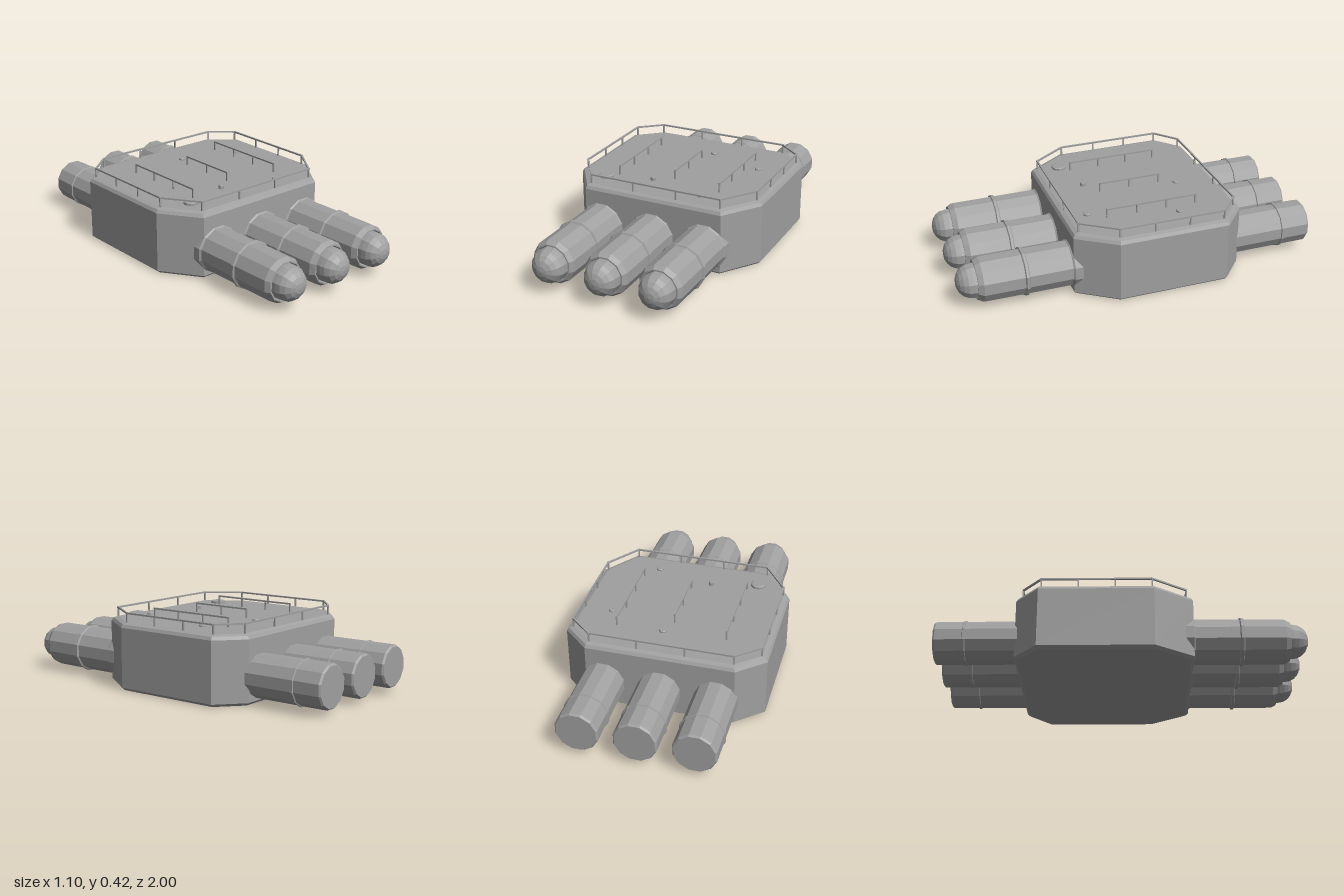
import * as THREE from 'three';

const grey = new THREE.MeshStandardMaterial({ color: 0xa0a0a0 });
grey.name = 'hull grey';

const DECK = 0.37;
const RAIL = 0.42;
const TUBE_Y = 0.145;

// Faceted normals for a crisp low-poly look
function flat(geometry) {
  const g = geometry.index ? geometry.toNonIndexed() : geometry;
  g.computeVertexNormals();
  return g;
}

function addMesh(parent, geometry, name) {
  const mesh = new THREE.Mesh(flat(geometry), grey);
  mesh.name = name;
  parent.add(mesh);
  return mesh;
}

// Eight-sided hull outline, shrunk evenly by i: [x, z] pairs
function outline(i) {
  const half = [
    [0.405 - 0.55 * i, 0.385 - i],
    [0.55 - i, 0.175 - 0.3 * i],
    [0.55 - i, -0.437 + 0.4 * i],
    [0.405 - 0.4 * i, -0.565 + i],
  ];
  return [...half, ...half.slice().reverse().map(([x, z]) => [-x, z])];
}

// Hull skin lofted through outlines, with flat caps
function hullGeometry() {
  const levels = [[0.018, 0], [0, 0.016], [0, 0.345], [0.01, 0.362], [0.032, DECK]];
  const loops = levels.map(([i, y]) => outline(i).map(([x, z]) => [x, y, z]));
  const pos = [];
  const tri = (...corners) => corners.forEach((c) => pos.push(...c));
  for (let l = 0; l < loops.length - 1; l++) {
    for (let k = 0; k < 8; k++) {
      const n = (k + 1) % 8;
      const [a, b, c, d] = [loops[l][k], loops[l][n], loops[l + 1][n], loops[l + 1][k]];
      tri(a, b, c);
      tri(a, c, d);
    }
  }
  const bottom = loops[0], top = loops[loops.length - 1];
  for (let k = 1; k < 7; k++) {
    tri(top[0], top[k], top[k + 1]);
    tri(bottom[0], bottom[k + 1], bottom[k]);
  }
  const g = new THREE.BufferGeometry();
  g.setAttribute('position', new THREE.Float32BufferAttribute(pos, 3));
  return g;
}

// Twelve-sided turned part with flats at top and sides; profile is [radius, distance]
function turned(profile) {
  const points = profile.map(([r, d]) => new THREE.Vector2(r, d));
  return new THREE.LatheGeometry(points, 12, Math.PI / 12);
}

// Square bar between two points
function addBar(parent, from, to, name, thick = 0.009) {
  const a = new THREE.Vector3(...from), b = new THREE.Vector3(...to);
  const bar = addMesh(parent, new THREE.BoxGeometry(thick, thick, a.distanceTo(b) + thick), name);
  bar.position.copy(a).add(b).multiplyScalar(0.5);
  bar.lookAt(b);
}

function addPost(parent, x, z) {
  const h = RAIL - DECK + 0.01;
  const post = addMesh(parent, new THREE.BoxGeometry(0.008, h, 0.008), 'railPost');
  post.position.set(x, RAIL - h / 2, z);
}

export function createModel() {
  const model = new THREE.Group();
  model.name = 'hullWithTubes';
  addMesh(model, hullGeometry(), 'hull');

  // Front tubes with collars and domed noses, rear tubes with flat ends
  const frontProfile = [
    [0.133, 0.3], [0.133, 0.383], [0.124, 0.393], [0.124, 0.628], [0.133, 0.633],
    [0.133, 0.647], [0.124, 0.652], [0.123, 0.87], [0.108, 0.898], [0.1, 0.898], [0.092, 0.885],
  ];
  const nose = [[0.095, 0.885], [0.094, 0.915]];
  for (let k = 1; k <= 5; k++) {
    const a = (k / 5) * Math.PI / 2;
    nose.push([k === 5 ? 0 : 0.094 * Math.cos(a), 0.915 + 0.085 * Math.sin(a)]);
  }
  const rearProfile = [
    [0.118, 0.5], [0.118, 0.828], [0.124, 0.831], [0.124, 0.841], [0.118, 0.844],
    [0.118, 0.99], [0.11, 1], [0, 1],
  ];
  for (const x of [-0.307, 0, 0.307]) {
    for (const [profile, name, dir] of [
      [frontProfile, 'frontTube', 1], [nose, 'tubeNose', 1], [rearProfile, 'rearTube', -1],
    ]) {
      const tube = addMesh(model, turned(profile), name);
      tube.rotation.x = dir * Math.PI / 2;
      tube.position.set(x, TUBE_Y, 0);
    }
  }

  // Railing around the deck edge
  const railing = new THREE.Group();
  railing.name = 'deckRailing';
  const corners = outline(0.035);
  corners.forEach(([x, z], k) => {
    const [nx, nz] = corners[(k + 1) % 8];
    addBar(railing, [x, RAIL, z], [nx, RAIL, nz], 'topRail');
    const parts = Math.hypot(nx - x, nz - z) > 0.4 ? 3 : 1;
    for (let p = 0; p < parts; p++) {
      const t = p / parts;
      addPost(railing, x + (nx - x) * t, z + (nz - z) * t);
    }
  });
  model.add(railing);

  // Three straight handrails on the deck: x, rear z, front z, spans
  const handrails = new THREE.Group();
  handrails.name = 'handrails';
  for (const [x, z0, z1, spans] of [
    [-0.305, -0.33, 0.175, 3], [0, -0.25, 0.1, 2], [0.295, -0.35, 0.16, 3],
  ]) {
    addBar(handrails, [x, RAIL, z0], [x, RAIL, z1], 'handrail');
    for (let p = 0; p <= spans; p++) addPost(handrails, x, z0 + (z1 - z0) * p / spans);
  }
  model.add(handrails);

  // Deck hatch and small caps: x, z, radius, height
  for (const [x, z, r, h, name] of [
    [-0.36, 0.228, 0.042, 0.015, 'hatch'], [0.038, -0.343, 0.021, 0.011, 'deckCap'],
    [0.36, -0.23, 0.019, 0.011, 'deckCap'], [0.227, 0.25, 0.02, 0.011, 'deckCap'],
    [-0.1, 0.167, 0.015, 0.022, 'deckCap'],
  ]) {
    const cap = addMesh(model, turned([[r, -0.01], [r, h - 0.004], [r * 0.85, h], [0, h]]), name);
    cap.position.set(x, DECK, z);
  }
  return model;
}
